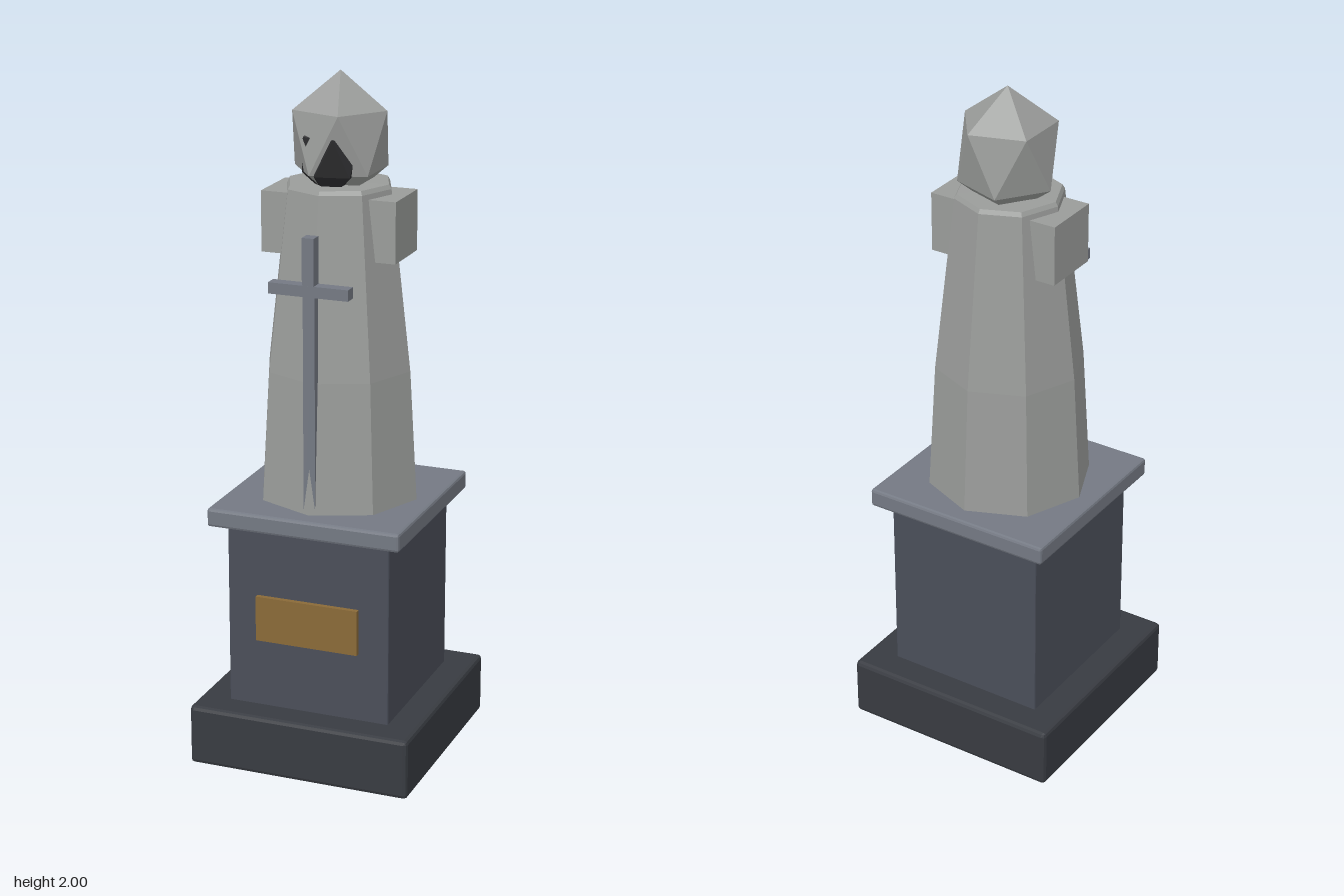
import * as THREE from 'three';
import { RoundedBoxGeometry } from 'three/addons/geometries/RoundedBoxGeometry.js';

const paint = (color) => new THREE.MeshStandardMaterial({ color, flatShading: true });

export function createModel() {
  const group = new THREE.Group();
  const stone = paint(0x9a9c9a);
  const slate = paint(0x747983);
  const darkSlate = paint(0x4a4e59);
  const charcoal = paint(0x383b41);
  const bronze = paint(0x8a6a38);
  const shadow = paint(0x2a2a2c);

  function add(name, geometry, material, x = 0, y = 0, z = 0) {
    const mesh = new THREE.Mesh(geometry, material);
    mesh.name = name;
    mesh.position.set(x, y, z);
    group.add(mesh);
    return mesh;
  }

  // Box with chamfered edges, given by width, bottom and top
  const chamferedBlock = (name, w, y0, y1, bevel, material) =>
    add(name, new RoundedBoxGeometry(w, y1 - y0, w, 1, bevel), material, 0, (y0 + y1) / 2);

  // Icosahedron standing on a vertex, stretched along each axis
  function gem(rx, ry, rz) {
    const g = new THREE.IcosahedronGeometry(1, 0);
    g.rotateZ(-Math.atan(2 / (1 + Math.sqrt(5))));
    return g.scale(rx, ry, rz);
  }

  // Pedestal
  chamferedBlock('base', 0.67, 0, 0.18, 0.012, charcoal);
  chamferedBlock('pedestal', 0.49, 0.17, 0.735, 0.004, darkSlate);
  chamferedBlock('topSlab', 0.58, 0.725, 0.78, 0.008, slate);
  add('plaque', new THREE.BoxGeometry(0.31, 0.135, 0.03), bronze, 0, 0.4525, 0.245);

  // Eight-sided robe, narrowing to the shoulders
  const profile = [
    [0, 0.77], [0.238, 0.77], [0.215, 1.16], [0.155, 1.68], [0.148, 1.692], [0, 1.695],
  ].map(([r, y]) => new THREE.Vector2(r, y));
  add('robe', new THREE.LatheGeometry(profile, 8), stone);

  // Shoulder blocks
  for (const side of [-1, 1]) {
    add(side > 0 ? 'leftShoulder' : 'rightShoulder',
      new THREE.BoxGeometry(0.1, 0.175, 0.175), stone, side * 0.15, 1.5775, 0);
  }

  // Hooded head with a dark face opening
  add('hood', gem(0.154, 0.19, 0.154), stone, 0, 1.81, -0.01);
  add('face', gem(0.095, 0.118, 0.06), shadow, 0, 1.775, 0.067);

  // Sword held point down against the robe
  add('swordBlade', new THREE.BoxGeometry(0.035, 0.65, 0.025), slate, 0, 1.1, 0.217);
  add('swordGuard', new THREE.BoxGeometry(0.236, 0.032, 0.037), slate, 0, 1.43, 0.217);
  add('swordGrip', new THREE.BoxGeometry(0.035, 0.165, 0.036), slate, 0, 1.4975, 0.217);

  return group;
}
